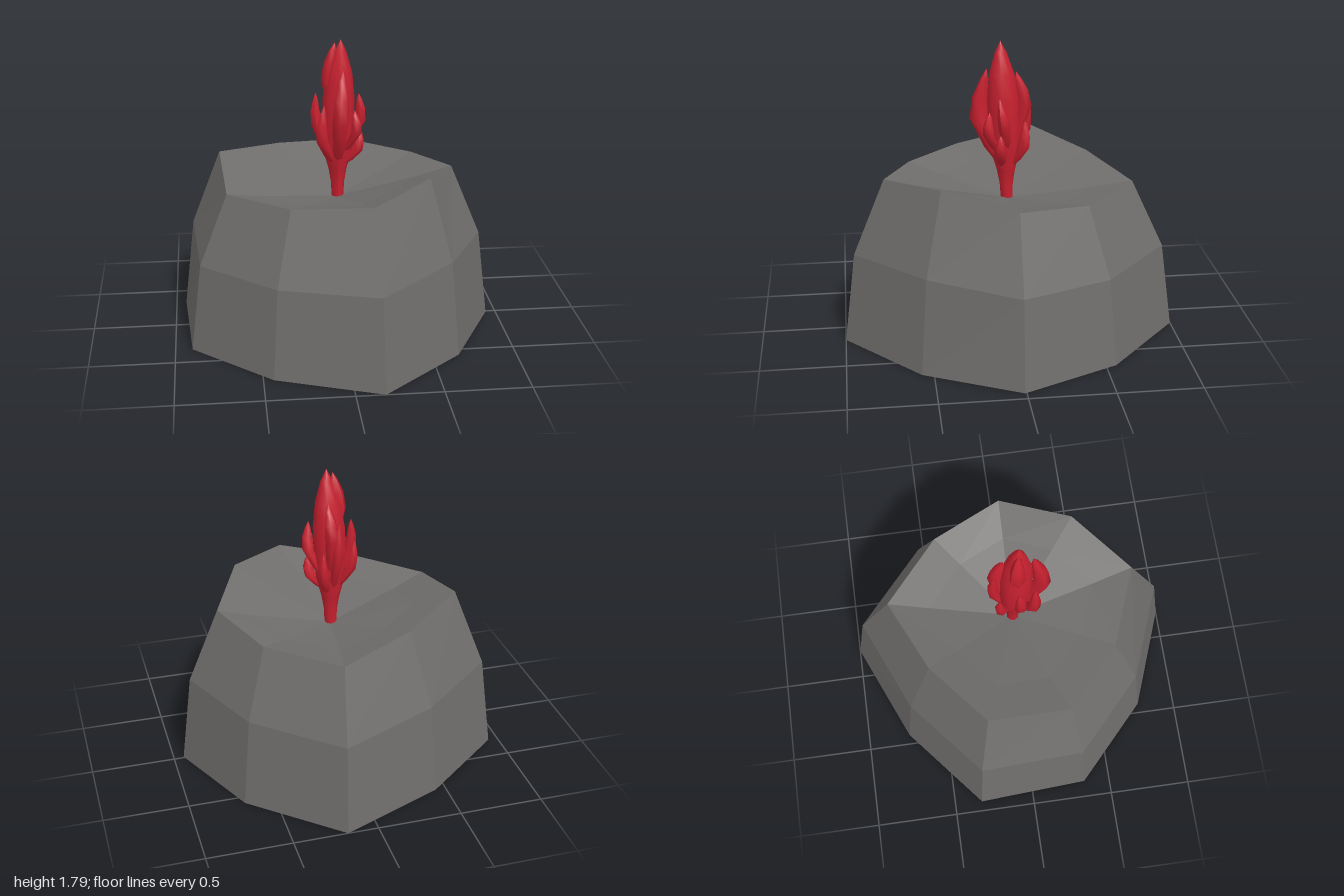
import * as THREE from 'three';

const stone = new THREE.MeshStandardMaterial({ color: 0x706e6c });
stone.name = 'stone grey';
const red = new THREE.MeshStandardMaterial({ color: 0xc8202f });
red.name = 'flame red';

// outline of the boulder, counter-clockwise from the back: x, z
const base = [[0.18, -1], [-0.44, -0.74], [-0.94, -0.33], [-0.9, 0.34], [-0.44, 0.77],
  [0.17, 1], [0.66, 0.57], [0.94, 0.01], [0.68, -0.56]];
// rim of the hollow: x, y, z
const rim = [[0.13, 0.935, -0.74], [-0.32, 0.985, -0.54], [-0.7, 1.04, -0.24], [-0.67, 0.94, 0.25],
  [-0.32, 0.955, 0.57], [0.13, 1.01, 0.74], [0.49, 1.06, 0.43], [0.69, 0.985, 0.01], [0.51, 0.94, -0.41]];
const HOLLOW = 0.815;

// Faceted boulder: three outer rings, an inner ring, and centre fans
function boulder() {
  const n = base.length;
  const rings = [
    base.map(([x, z]) => [x, 0, z]),
    base.map(([x, z], i) => [x * 0.93, 0.53 + (rim[i][1] - 0.95) * 0.4, z * 0.93]),
    rim,
    rim.map(([x, y, z]) => [x * 0.67, HOLLOW + (y - HOLLOW) * 0.62, z * 0.67]),
  ];
  const pos = [];
  const tri = (a, b, c) => pos.push(...a, ...b, ...c);
  for (let i = 0; i < n; i++) {
    const j = (i + 1) % n;
    for (let k = 0; k < 3; k++) {
      const a = rings[k][i], b = rings[k][j], c = rings[k + 1][j], d = rings[k + 1][i];
      tri(a, b, c);
      tri(a, c, d);
    }
    tri(rings[3][i], rings[3][j], [0, HOLLOW, 0]);
    tri(rings[0][j], rings[0][i], [0, 0, 0]);
  }
  const g = new THREE.BufferGeometry();
  g.setAttribute('position', new THREE.Float32BufferAttribute(pos, 3));
  g.computeVertexNormals();
  return g;
}

// Lathed body whose axis is bent along a curve; t runs from 0 at the foot to 1 at the tip
function bent(profile, curve, sides, turn = 0) {
  const g = new THREE.LatheGeometry(profile.map(([r, t]) => new THREE.Vector2(r, t)), sides, turn);
  const p = g.attributes.position;
  for (let i = 0; i < p.count; i++) {
    const c = curve.getPoint(p.getY(i));
    p.setXYZ(i, p.getX(i) + c.x, c.y, p.getZ(i) + c.z);
  }
  g.computeVertexNormals();
  return g;
}

// foot, belly, tip of each side tongue, then its radius
const tongues = [
  [[-0.03, 1.0, 0.02], [-0.13, 1.28, 0.03], [-0.13, 1.47, 0.02], 0.033],
  [[0.03, 1.1, 0.0], [0.13, 1.3, 0.03], [0.12, 1.47, 0.055], 0.036],
  [[0.02, 1.02, 0.03], [0.11, 1.12, 0.05], [0.13, 1.25, 0.05], 0.038],
  [[0.0, 1.02, 0.03], [0.0, 1.32, 0.17], [0.02, 1.63, 0.12], 0.052],
  [[0.02, 1.1, 0.05], [0.1, 1.25, 0.12], [0.09, 1.38, 0.11], 0.034],
  [[-0.02, 1.02, 0.03], [-0.1, 1.2, 0.11], [-0.09, 1.42, 0.12], 0.038],
  [[0.0, 1.05, -0.01], [0.02, 1.4, -0.1], [0.03, 1.61, -0.05], 0.044],
  [[0.0, 1.02, -0.02], [-0.01, 1.25, -0.11], [-0.02, 1.51, -0.11], 0.035],
  [[-0.02, 1.05, -0.02], [-0.1, 1.2, -0.08], [-0.12, 1.38, -0.09], 0.034],
  [[0.02, 1.02, -0.02], [0.07, 1.15, -0.09], [0.07, 1.32, -0.1], 0.036],
  [[-0.01, 1.3, 0.02], [-0.05, 1.55, 0.02], [-0.02, 1.77, 0.03], 0.05],
];
const tongueProfile = [[0.3, 0], [0.75, 0.2], [1, 0.5], [0.85, 0.72], [0.45, 0.9], [0, 1]];
const coreProfile = [[0.036, 0], [0.04, 0.1], [0.055, 0.19], [0.084, 0.3], [0.096, 0.45],
  [0.096, 0.64], [0.075, 0.8], [0.035, 0.93], [0, 1]];

export function createModel() {
  const model = new THREE.Group();

  const rock = new THREE.Mesh(boulder(), stone);
  rock.name = 'boulder';
  model.add(rock);

  // Flame standing in the hollow
  const flame = new THREE.Group();
  flame.name = 'flame';
  const axis = new THREE.CatmullRomCurve3([
    new THREE.Vector3(0, 0.81, 0), new THREE.Vector3(0, 1.3, 0.015), new THREE.Vector3(0.015, 1.79, 0.04)]);
  const core = new THREE.Mesh(bent(coreProfile, axis, 9), red);
  core.name = 'flameCore';
  flame.add(core);

  tongues.forEach(([foot, belly, tip, r], i) => {
    const curve = new THREE.CatmullRomCurve3([foot, belly, tip].map((v) => new THREE.Vector3(...v)));
    const mesh = new THREE.Mesh(bent(tongueProfile.map(([s, t]) => [s * r, t]), curve, 6, i), red);
    mesh.name = 'flameTongue' + (i + 1);
    flame.add(mesh);
  });
  model.add(flame);
  return model;
}
